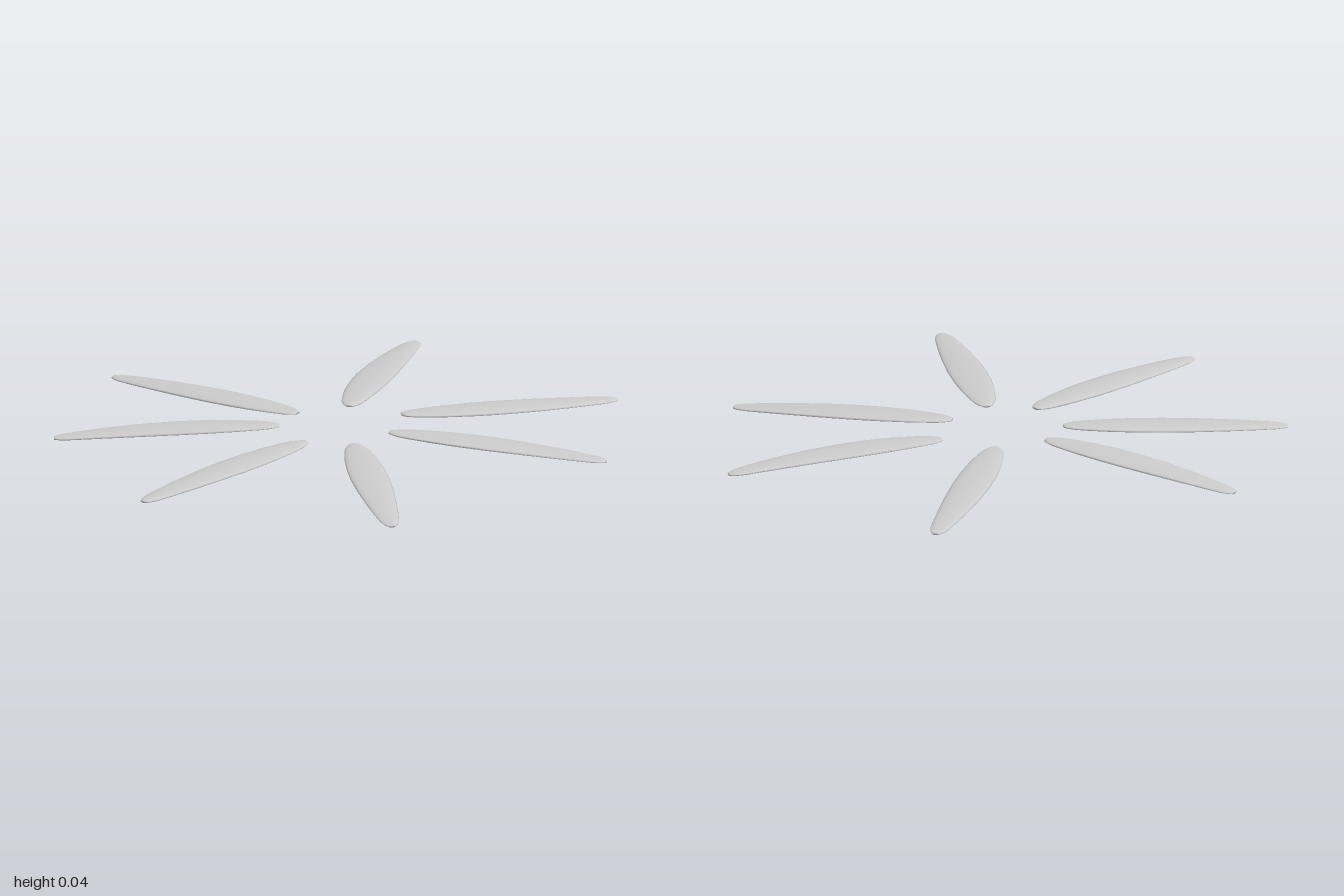
import * as THREE from 'three';

// Each petal: inner x, z, outer x, z, sideways bow
const PETALS = [
  [0.0, 0.15, -0.01, 0.94, 0.003],
  [0.145, 0.05, 0.845, 0.405, 0],
  [0.22, -0.125, 1.0, -0.23, 0.02],
  [0.055, -0.245, 0.42, -0.945, -0.012],
  [-0.135, -0.205, -0.68, -0.775, -0.007],
  [-0.22, -0.09, -1.0, -0.18, 0.012],
  [-0.16, 0.095, -0.815, 0.53, 0],
];

// Half-width along the petal: [fraction of length, half-width]
const WIDTHS = [
  [0, 0.014], [0.015, 0.024], [0.05, 0.037], [0.1, 0.046], [0.2, 0.058],
  [0.32, 0.066], [0.45, 0.068], [0.6, 0.063], [0.75, 0.053], [0.87, 0.042],
  [0.94, 0.034], [0.98, 0.024], [1, 0.013],
];
const SIDES = 16;

// Thin oval sections lofted along a drooping centre line, closed at both ends
function petalGeometry([x0, z0, x1, z1, bow]) {
  const length = Math.hypot(x1 - x0, z1 - z0);
  const dx = (x1 - x0) / length, dz = (z1 - z0) / length;
  const pos = [], index = [];
  const centre = (t) => {
    const b = bow * 4 * t * (1 - t);
    return [
      x0 + dx * length * t - dz * b,
      0.034 - 0.004 * t - 0.025 * t * t,
      z0 + dz * length * t + dx * b,
    ];
  };
  for (const [t, w] of WIDTHS) {
    const [cx, cy, cz] = centre(t);
    const h = 0.003 + 0.007 * Math.min(1, w / 0.066);
    for (let j = 0; j < SIDES; j++) {
      const a = (j / SIDES) * Math.PI * 2;
      const s = Math.cos(a) * w;
      pos.push(cx - dz * s, cy + Math.sin(a) * h, cz + dx * s);
    }
  }
  const last = WIDTHS.length - 1;
  for (let i = 0; i < last; i++) {
    for (let j = 0; j < SIDES; j++) {
      const k = (j + 1) % SIDES;
      const a = i * SIDES + j, c = i * SIDES + k;
      index.push(a, a + SIDES, c, c, a + SIDES, c + SIDES);
    }
  }
  // End caps
  const start = pos.length / 3;
  pos.push(...centre(0), ...centre(1));
  for (let j = 0; j < SIDES; j++) {
    const k = (j + 1) % SIDES;
    index.push(start, j, k, start + 1, last * SIDES + k, last * SIDES + j);
  }
  const geometry = new THREE.BufferGeometry();
  geometry.setAttribute('position', new THREE.Float32BufferAttribute(pos, 3));
  geometry.setIndex(index);
  geometry.computeVertexNormals();
  return geometry;
}

export function createModel() {
  const group = new THREE.Group();
  group.name = 'petalRing';
  const material = new THREE.MeshStandardMaterial({ color: 0xcccccc });
  PETALS.forEach((p, i) => {
    const petal = new THREE.Mesh(petalGeometry(p), material);
    petal.name = `petal${i + 1}`;
    group.add(petal);
  });
  return group;
}
